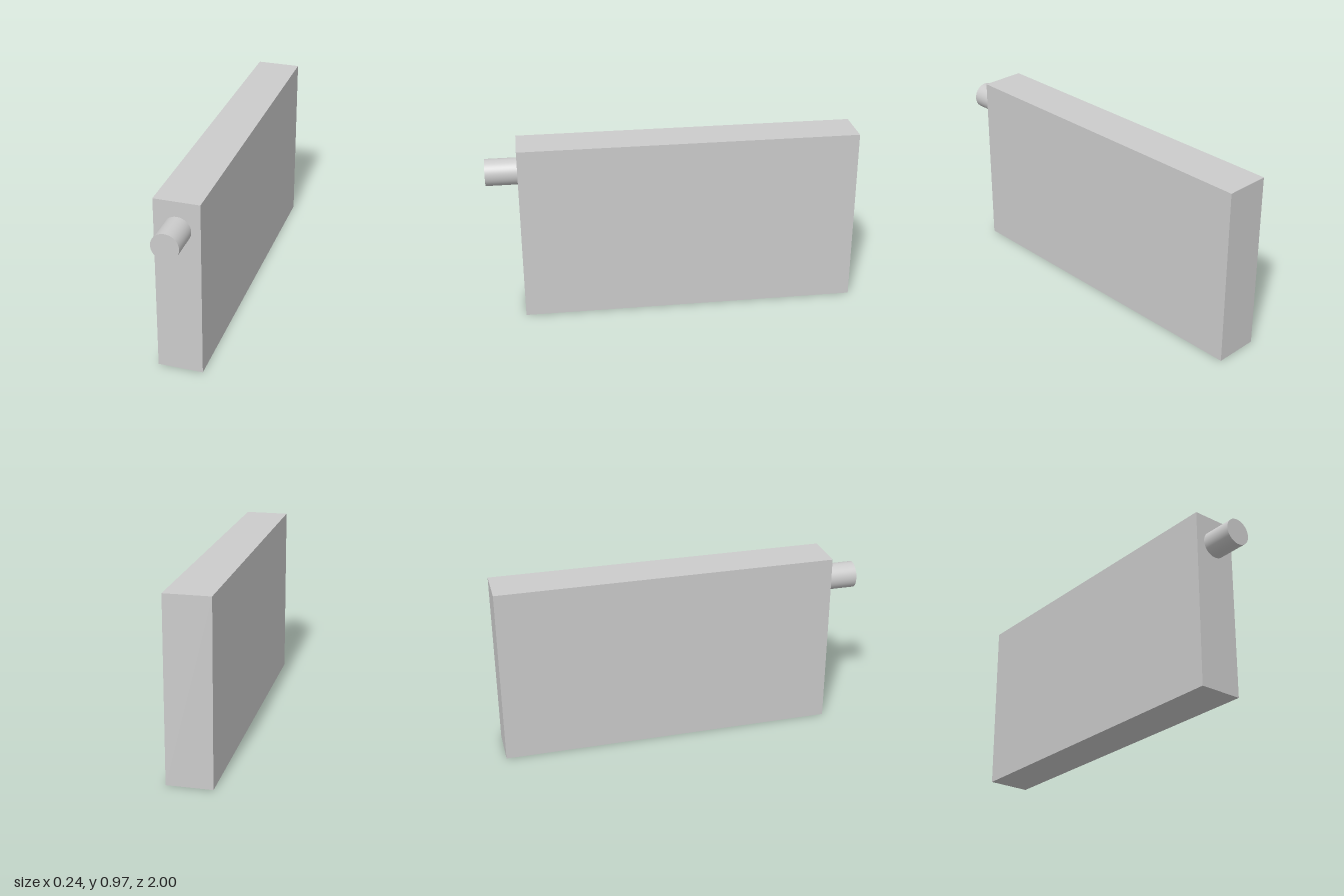
import * as THREE from 'three';

export function createModel() {
  const group = new THREE.Group();
  const material = new THREE.MeshStandardMaterial({ color: 0xcccccc });
  const width = 0.24, height = 0.97, back = -1, front = 0.83, tip = 1;

  // Upright slab standing on the ground
  const body = new THREE.Mesh(new THREE.BoxGeometry(width, height, front - back), material);
  body.name = 'body';
  body.position.set(0, height / 2, (front + back) / 2);
  group.add(body);

  // Round stub projecting from the front, near the top
  const stub = new THREE.Mesh(
    new THREE.CylinderGeometry(0.072, 0.072, tip - front, 64).rotateX(Math.PI / 2),
    material
  );
  stub.name = 'frontStub';
  stub.position.set(0, 0.817, (front + tip) / 2);
  group.add(stub);

  return group;
}
